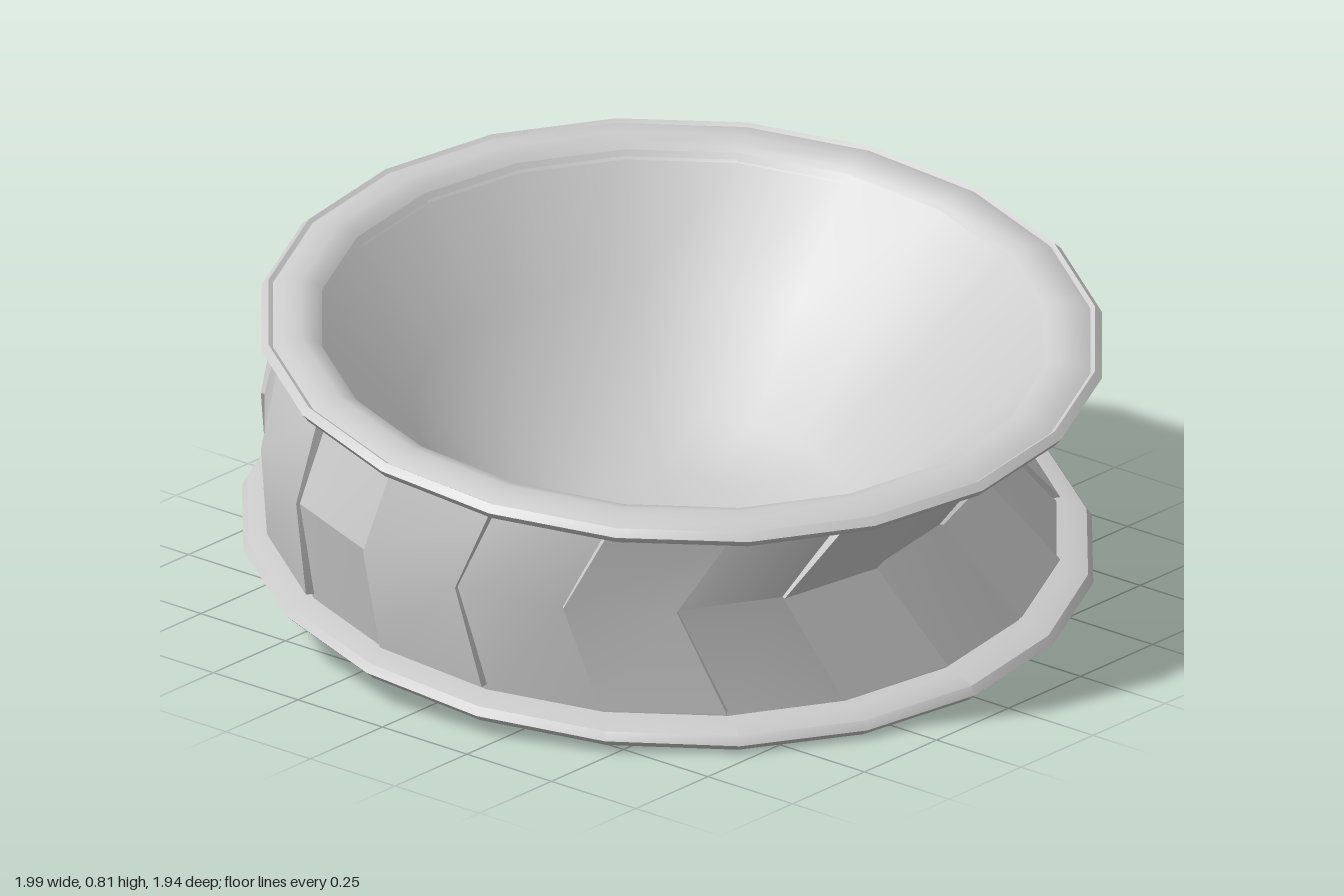
import * as THREE from 'three';
import { toCreasedNormals } from 'three/addons/utils/BufferGeometryUtils.js';

const SIDES = 20, STEP = (Math.PI * 2) / SIDES, START = 13.5 * Math.PI / 180;
const SLOPE_X = -0.11, SLOPE_Z = -0.075; // the whole dish leans this way
const material = new THREE.MeshStandardMaterial({ color: 0xcccccc });

// Point on a leaning ring [radius, height, centreX, centreZ, squash in z]
function ringPoint([r, h, cx, cz, squash = 1], k, offset = 0) {
  const a = START + k * STEP;
  const x = cx + (r + offset) * Math.cos(a), z = cz - (r + offset) * squash * Math.sin(a);
  return [x, h + SLOPE_X * x + SLOPE_Z * z, z];
}

function makeMesh(name, positions, index, crease) {
  const geometry = new THREE.BufferGeometry();
  geometry.setAttribute('position', new THREE.Float32BufferAttribute(positions, 3));
  geometry.setIndex(index);
  const mesh = new THREE.Mesh(toCreasedNormals(geometry, crease), material);
  mesh.name = name;
  return mesh;
}

// Skin through a list of rings; a ring of radius 0 closes the end
function loft(name, rings, crease = 0.65) {
  const positions = [], index = [];
  for (const ring of rings) for (let k = 0; k < SIDES; k++) positions.push(...ringPoint(ring, k));
  for (let i = 0; i < rings.length - 1; i++) {
    for (let k = 0; k < SIDES; k++) {
      const n = (k + 1) % SIDES;
      const a = i * SIDES + k, b = i * SIDES + n, c = b + SIDES, d = a + SIDES;
      if (rings[i][0] > 0) index.push(a, b, c);
      if (rings[i + 1][0] > 0) index.push(a, c, d);
    }
  }
  return makeMesh(name, positions, index, crease);
}

// Raised chevron plate on one face of the wall, with bevelled sides
function plate(levels, k) {
  const positions = [], index = [];
  for (const [ring, raise] of levels) {
    for (const [side, offset] of [[0, raise], [1, raise], [1.03, -0.02], [-0.03, -0.02]]) {
      positions.push(...ringPoint(ring, k + side, offset));
    }
  }
  for (let i = 0; i < levels.length - 1; i++) {
    for (let j = 0; j < 4; j++) {
      const a = i * 4 + j, b = i * 4 + (j + 1) % 4;
      index.push(a, b, b + 4, a, b + 4, a + 4);
    }
  }
  const t = (levels.length - 1) * 4;
  index.push(0, 2, 1, 0, 3, 2, t, t + 1, t + 2, t, t + 2, t + 3);
  return makeMesh('wallPlate', positions, index, 0.5);
}

export function createModel() {
  const group = new THREE.Group();
  const low = (r, h) => [r, h, -0.024, -0.018, 0.98];
  const high = (r, h) => [r, h, 0.04, 0.008];
  // Bowl rings slide along the leaning axis as they go down
  const inner = (r, h) => [r, h, 0.04 + (h - 0.67) * 0.11, 0.008 + (h - 0.67) * 0.075];

  // Foot disc with a rounded edge
  group.add(loft('base', [
    low(0, 0.115), low(0.925, 0.115), low(0.955, 0.122), low(0.977, 0.142),
    low(0.965, 0.16), low(0.92, 0.172), low(0.8, 0.177),
  ]));

  // Pinched wall: the waist sits off centre, so the groove is deep at the back
  const bottom = [0.893, 0.165, -0.028, -0.022];
  const waist = [0.81, 0.43, -0.05, 0.118];
  const top = [0.872, 0.645, 0.012, 0.004];
  group.add(loft('wall', [bottom, waist, top], 0.5));

  // Plates on every other face
  const mix = (a, b, t) => a.map((v, i) => v + (b[i] - v) * t);
  const levels = [[mix(bottom, waist, 0.08), 0.018], [waist, 0.008], [mix(waist, top, 0.9), 0.022]];
  const plates = new THREE.Group();
  plates.name = 'wallPlates';
  for (let k = 0; k < SIDES; k += 2) plates.add(plate(levels, k));
  group.add(plates);

  // Flared lip with a fine groove just inside its edge
  group.add(loft('rim', [
    high(0.86, 0.615), high(0.9, 0.63), high(0.945, 0.65), high(0.958, 0.667),
    high(0.942, 0.682), high(0.932, 0.676), high(0.905, 0.688), high(0.865, 0.692),
    high(0.83, 0.682), high(0.805, 0.655),
  ]));

  // Steep conical bowl easing into a shallow dished floor
  group.add(loft('bowl', [
    inner(0.82, 0.672), inner(0.6, 0.445), inner(0.39, 0.23), inner(0.2, 0.175), inner(0, 0.165),
  ], 1));
  return group;
}
